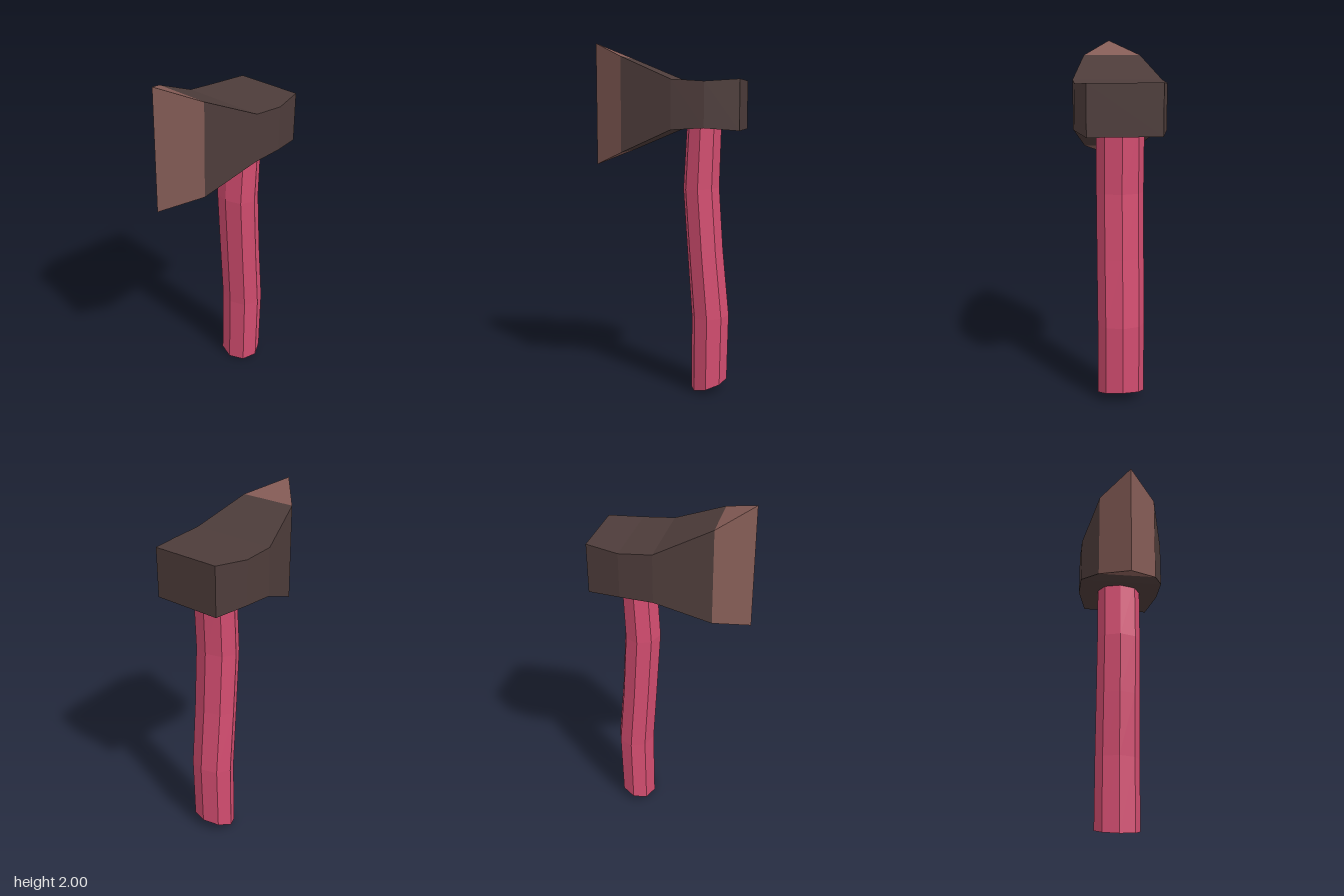
import * as THREE from 'three';

// Joins rings of points (counter-clockwise seen from the far end) into a faceted skin.
function loft(rings, capStart, capEnd) {
  const pos = [];
  const tri = (a, b, c) => {
    if (new THREE.Triangle(a, b, c).getArea() > 1e-7) {
      for (const p of [a, b, c]) pos.push(p.x, p.y, p.z);
    }
  };
  const n = rings[0].length;
  for (let i = 0; i < rings.length - 1; i++) {
    for (let k = 0; k < n; k++) {
      const m = (k + 1) % n;
      const a = rings[i][k], b = rings[i][m], c = rings[i + 1][m], d = rings[i + 1][k];
      tri(a, b, c);
      tri(a, c, d);
    }
  }
  const first = rings[0], last = rings[rings.length - 1];
  for (let k = 1; k < n - 1; k++) {
    if (capStart) tri(first[0], first[k + 1], first[k]);
    if (capEnd) tri(last[0], last[k], last[k + 1]);
  }
  const geometry = new THREE.BufferGeometry();
  geometry.setAttribute('position', new THREE.Float32BufferAttribute(pos, 3));
  geometry.computeVertexNormals();
  return geometry;
}

function part(name, geometry, color) {
  const mesh = new THREE.Mesh(geometry, new THREE.MeshStandardMaterial({ color, flatShading: true }));
  mesh.name = name;
  return mesh;
}

// Rectangular slice of the axe head at depth z
const slice = ([z, w, bottom, top]) => [
  new THREE.Vector3(-w, bottom, z), new THREE.Vector3(w, bottom, z),
  new THREE.Vector3(w, top, z), new THREE.Vector3(-w, top, z),
];

// Octagonal slice of the handle, tilted between its front and back points
const octagon = ([zFront, yFront, zBack, yBack]) => Array.from({ length: 8 }, (_, k) => {
  const a = k * Math.PI / 4;
  const t = (1 - Math.cos(a)) / 2;
  return new THREE.Vector3(
    0.131 * Math.sin(a),
    THREE.MathUtils.lerp(yFront, yBack, t),
    THREE.MathUtils.lerp(zFront, zBack, t),
  );
});

export function createModel() {
  const group = new THREE.Group();
  group.name = 'axe';

  // Head slices from back to front: z, half width, bottom, top
  const shoulder = [0.237, 0.164, 1.39, 1.917];
  const head = [
    [-0.425, 0.199, 1.515, 1.79],
    [-0.24, 0.247, 1.53, 1.778],
    [-0.06, 0.247, 1.52, 1.79],
    shoulder,
  ];
  group.add(part('axeHead', loft(head.map(slice), true, false), 0x4d3c3a));

  // Sharpened wedge closing to a vertical edge
  const edge = [shoulder, [0.425, 0, 1.31, 2.0]];
  group.add(part('cuttingEdge', loft(edge.map(slice), false, false), 0x855c56));

  // Curved handle from bottom to top: front z, y, back z, y
  const handle = [
    [-0.137, 0, -0.345, 0.065],
    [-0.137, 0.44, -0.353, 0.45],
    [-0.11, 0.82, -0.316, 0.83],
    [-0.085, 1.18, -0.292, 1.19],
    [-0.106, 1.56, -0.302, 1.56],
  ];
  group.add(part('handle', loft(handle.map(octagon), true, true), 0xd34d70));

  return group;
}
